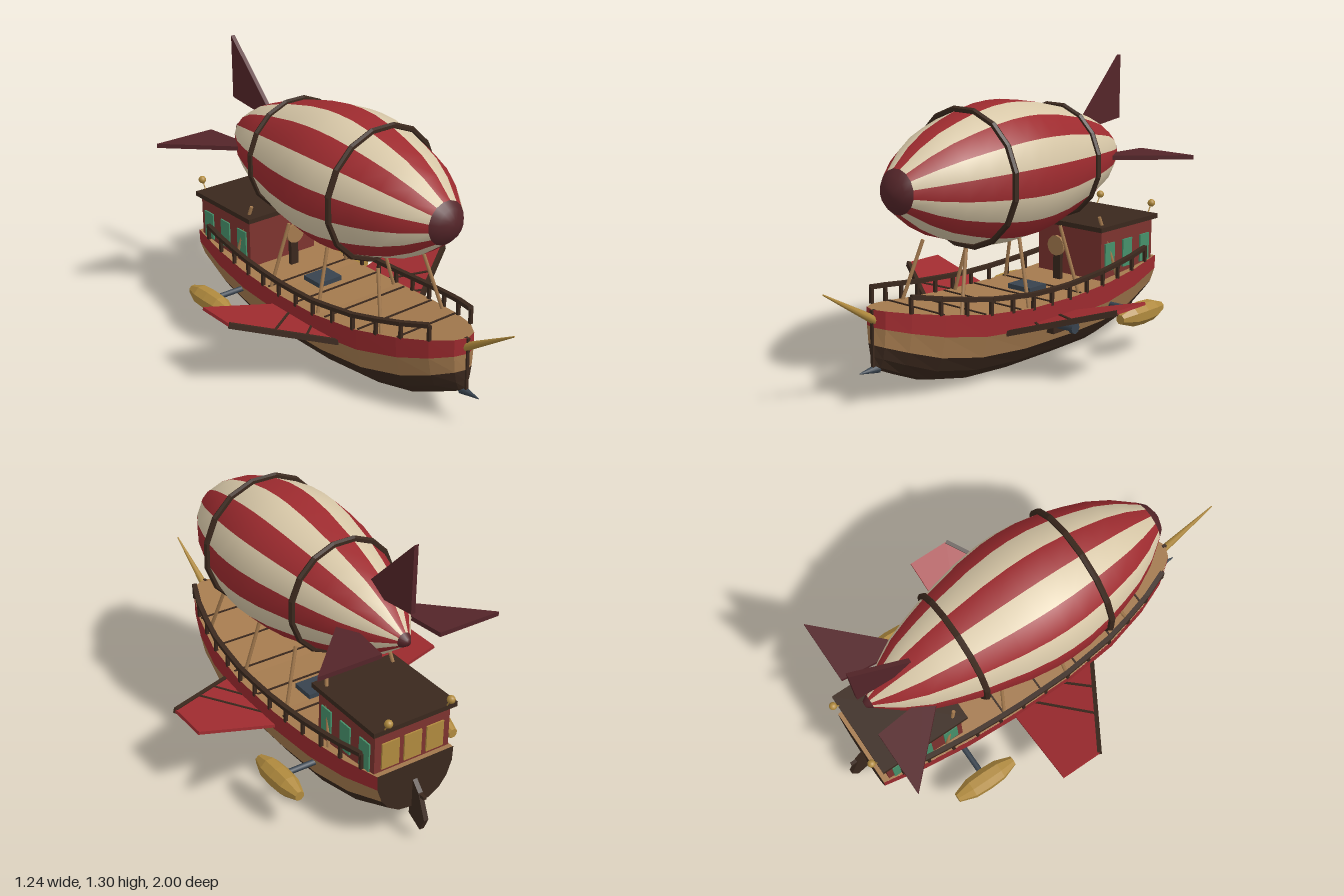
import * as THREE from 'three';
import { mergeGeometries } from 'three/addons/utils/BufferGeometryUtils.js';

const mat = (name, color) => Object.assign(new THREE.MeshStandardMaterial({ color }), { name });
const V = (x, y, z) => new THREE.Vector3(x, y, z);
const flat = (g) => { const f = g.toNonIndexed(); f.computeVertexNormals(); return f; };

// Hull stations: z, half width, sheer height, keel height
const STATIONS = [
  [0.745, 0.006, 0.412, 0.165], [0.725, 0.055, 0.41, 0.155], [0.64, 0.118, 0.394, 0.115],
  [0.5, 0.172, 0.368, 0.055], [0.3, 0.219, 0.335, 0.016], [0.05, 0.243, 0.312, 0.004],
  [-0.25, 0.245, 0.306, 0.004], [-0.5, 0.235, 0.315, 0.006], [-0.72, 0.216, 0.334, 0.05],
  [-0.915, 0.19, 0.36, 0.14]];

// Half width and sheer height of the hull at any z
function sheerAt(z) {
  let i = 0;
  while (i < STATIONS.length - 2 && STATIONS[i + 1][0] > z) i++;
  const [a, b] = [STATIONS[i], STATIONS[i + 1]];
  const t = (z - a[0]) / (b[0] - a[0]);
  return { w: a[1] + (b[1] - a[1]) * t, y: a[2] + (b[2] - a[2]) * t };
}

// Faceted surface through a grid of points
function surface(grid) {
  const pos = [];
  for (let i = 0; i < grid.length - 1; i++)
    for (let j = 0; j < grid[i].length - 1; j++) {
      const a = grid[i][j], b = grid[i][j + 1], c = grid[i + 1][j], d = grid[i + 1][j + 1];
      for (const p of [a, c, b, b, c, d]) pos.push(p.x, p.y, p.z);
    }
  const g = new THREE.BufferGeometry();
  g.setAttribute('position', new THREE.Float32BufferAttribute(pos, 3));
  g.computeVertexNormals();
  return g;
}

export function createModel() {
  const red = mat('red', 0x9e2b2f), cream = mat('cream', 0xd8c8a8), dark = mat('dark timber', 0x3a281d),
    wood = mat('deck wood', 0xa47a4e), maroon = mat('maroon', 0x542529), cabinRed = mat('cabin red', 0x7d332f),
    gold = mat('brass', 0xb08a3e), green = mat('green glass', 0x46906a), steel = mat('steel', 0x38434e);

  const model = new THREE.Group();
  model.name = 'airship';
  const add = (name, geo, material, x = 0, y = 0, z = 0) => {
    const m = new THREE.Mesh(geo, material);
    m.name = name;
    m.position.set(x, y, z);
    model.add(m);
    return m;
  };
  const box = (name, material, w, h, d, x, y, z) => add(name, new THREE.BoxGeometry(w, h, d), material, x, y, z);
  const beam = (name, material, a, b, w, h) => {
    const p = a.clone().add(b).multiplyScalar(0.5);
    const m = box(name, material, w, h, a.distanceTo(b), p.x, p.y, p.z);
    m.lookAt(b);
    return m;
  };
  const rod = (name, material, a, b, r0, r1 = r0, sides = 8) => {
    const p = a.clone().add(b).multiplyScalar(0.5);
    const m = add(name, new THREE.CylinderGeometry(r1, r0, a.distanceTo(b), sides), material, p.x, p.y, p.z);
    m.quaternion.setFromUnitVectors(V(0, 1, 0), b.clone().sub(a).normalize());
    return m;
  };
  // Side-profile plate: points are [z, y], thickness across x
  const plate = (name, material, pts, t) => {
    const shape = new THREE.Shape(pts.map(([z, y]) => new THREE.Vector2(-z, y)));
    const g = new THREE.ExtrudeGeometry(shape, { depth: t, bevelEnabled: false });
    return add(name, g.translate(0, 0, -t / 2).rotateY(Math.PI / 2), material);
  };

  // Hull: section points as [height fraction, width fraction], sheer to keel
  const SECTION = [[1, 1], [0.7, 0.985], [0.4, 0.86], [0.2, 0.68], [0.05, 0.4], [0, 0]];
  const hullGrid = (from, to, side) => STATIONS.map(([z, w, top, keel]) => {
    const row = SECTION.slice(from, to + 1).map(([h, k]) => V(side * w * k, keel + (top - keel) * h, z));
    return side > 0 ? row.reverse() : row;
  });
  for (const s of [-1, 1]) {
    add('bulwark', surface(hullGrid(0, 1, s)), red);
    add('hullPlanking', surface(hullGrid(1, 2, s)), wood);
    add('hullBottom', surface(hullGrid(2, 5, s)), dark);
  }
  const last = STATIONS.length - 1;
  const rim = [...hullGrid(0, 5, -1)[last], ...hullGrid(0, 5, 1)[last]];
  rim.push(rim[0]);
  add('transom', surface([rim, rim.map(() => V(0, 0.26, -0.915))]), dark);
  add('deck', surface(STATIONS.map(([z, w, y]) => [V(w * 0.995, y - 0.003, z), V(-w * 0.995, y - 0.003, z)])), wood);
  for (const z of [0.5, 0.3, 0.1, -0.1, -0.3]) {
    const { w, y } = sheerAt(z);
    box('deckSeam', dark, w * 1.9, 0.005, 0.008, 0, y, z);
  }
  beam('stem', dark, V(0, 0.41, 0.742), V(0, 0.16, 0.742), 0.014, 0.02);
  rod('bowsprit', gold, V(0, 0.345, 0.7), V(0, 0.525, 1), 0.021, 0.003);
  rod('ram', steel, V(0, 0.16, 0.72), V(0, 0.16, 0.82), 0.02, 0.002);
  plate('rudder', dark, [[-0.9, 0.29], [-0.955, 0.23], [-1, 0.12], [-0.975, 0.06], [-0.9, 0.1]], 0.022);
  box('rudderBracket', dark, 0.015, 0.014, 0.08, 0, 0.22, -0.945);

  // Railings and balloon supports
  for (const s of [-1, 1]) {
    const railPoint = (i) => {
      const z = 0.64 - i * 0.1215, { w, y } = sheerAt(z);
      return V(s * w * 0.98, y + 0.045 + 0.012 * Math.abs(i - 6) / 6 + 0.012, z);
    };
    for (let i = 0; i <= 12; i++) {
      const p = railPoint(i);
      box('railPost', dark, 0.014, 0.07, 0.014, p.x, p.y - 0.035, p.z);
      if (i < 12) beam('handrail', dark, p, railPoint(i + 1), 0.022, 0.018);
    }
    for (const [z0, z1, x1] of [[0.41, 0.33, 0.125], [0.04, 0.015, 0.14], [-0.3, -0.26, 0.14], [-0.6, -0.515, 0.16]]) {
      const { w, y } = sheerAt(z0);
      rod('balloonSupport', wood, V(s * w * 0.9, y - 0.01, z0), V(s * x1, 0.605, z1), 0.008);
    }
  }

  // Deckhouse
  box('cabin', cabinRed, 0.37, 0.24, 0.385, 0, 0.42, -0.693);
  box('cabinRoof', dark, 0.41, 0.022, 0.43, 0, 0.554, -0.69);
  for (const s of [-1, 1]) {
    for (const z of [-0.56, -0.692, -0.824]) box('sideWindow', green, 0.009, 0.13, 0.068, s * 0.1875, 0.415, z);
    rod('lanternPost', gold, V(s * 0.153, 0.56, -0.9), V(s * 0.153, 0.6, -0.922), 0.003);
    add('lantern', new THREE.SphereGeometry(0.018, 10, 8), gold, s * 0.153, 0.605, -0.925);
  }
  for (const x of [-0.11, 0, 0.11]) box('sternWindow', gold, 0.085, 0.12, 0.009, x, 0.427, -0.888);

  // Helm and deck hatch
  box('helmPedestal', dark, 0.04, 0.13, 0.02, 0, 0.37, -0.418);
  rod('helmWheel', wood, V(0, 0.467, -0.412), V(0, 0.467, -0.398), 0.047, 0.047, 12);
  box('deckHatch', steel, 0.13, 0.022, 0.11, 0, 0.317, -0.2);

  // Balloon: sixteen gores on a lathe profile of [radius, z]
  const gore = Math.PI / 8, balloonY = 0.868;
  const lathe = (pts, start, n) => new THREE.LatheGeometry(
    pts.map(([r, z]) => new THREE.Vector2(r * 1.02, z)), n, start, n * gore).rotateX(Math.PI / 2);
  const PROFILE = [[0.03, -0.805], [0.105, -0.71], [0.168, -0.6], [0.205, -0.5], [0.24, -0.39], [0.284, -0.2],
    [0.3, -0.08], [0.303, 0], [0.298, 0.09], [0.279, 0.2], [0.251, 0.3], [0.217, 0.4], [0.165, 0.5], [0.092, 0.6]];
  [red, cream].forEach((material, k) => {
    const gores = [];
    for (let i = k; i < 16; i += 2) gores.push(lathe(PROFILE, (i - 0.5) * gore, 1));
    add(k ? 'creamGores' : 'redGores', mergeGeometries(gores), material, 0, balloonY);
  });
  add('noseCap', lathe([[0.094, 0.598], [0.068, 0.627], [0.027, 0.645], [0, 0.646]], -gore / 2, 16), maroon, 0, balloonY);
  add('tailCap', lathe([[0, -0.83], [0.015, -0.828], [0.032, -0.803]], -gore / 2, 16), maroon, 0, balloonY);
  for (const [z, r] of [[0.205, 0.287], [-0.39, 0.245]])
    add('balloonBand', flat(new THREE.TorusGeometry(r * 1.02, 0.014, 6, 16).rotateZ(gore / 2)), dark, 0, balloonY, z);

  // Tail fins
  for (const k of [-1, 0, 1]) {
    const fin = plate('tailFin', maroon, [[-0.585, 0.165], [-0.85, 0.435], [-0.85, 0.14], [-0.62, 0.115]], 0.02);
    fin.position.y = balloonY;
    fin.rotation.z = k * Math.PI / 2;
  }

  for (const s of [-1, 1]) {
    // Side wings with dark spars
    const wing = new THREE.Group();
    wing.name = 'wing';
    wing.position.set(s * 0.22, 0.228, 0);
    wing.rotation.z = s * 0.28;
    model.add(wing);
    const outline = [[0, -0.255], [0.41, -0.255], [0.41, -0.06], [0, 0.185]];
    const shape = new THREE.Shape(outline.map(([u, z]) => new THREE.Vector2(s * u, z)));
    const panel = add('wingPanel', new THREE.ExtrudeGeometry(shape, { depth: 0.014, bevelEnabled: false })
      .rotateX(Math.PI / 2).translate(0, 0.007, 0), red);
    wing.add(panel);
    const spar = (u0, z0, u1, z1, t) =>
      wing.add(beam('wingSpar', dark, V(s * u0, 0, z0), V(s * u1, 0, z1), t, 0.024));
    spar(0, 0.185, 0.41, -0.06, 0.018);
    spar(0, -0.16, 0.24, 0.04, 0.01);
    spar(0, 0.0, 0.12, 0.11, 0.01);

    // Engine pods on arms
    const pod = [[0, -0.15], [0.022, -0.15], [0.048, -0.075], [0.052, 0], [0.048, 0.075], [0.022, 0.15], [0, 0.15]];
    const podGeo = new THREE.LatheGeometry(pod.map(([r, z]) => new THREE.Vector2(r, z)), 8, Math.PI / 8);
    add('enginePod', flat(podGeo.rotateX(Math.PI / 2)), gold, s * 0.394, 0.198, -0.525);
    rod('engineArm', steel, V(s * 0.2, 0.205, -0.525), V(s * 0.36, 0.205, -0.525), 0.013);

    // Side cannons
    rod('cannonBarrel', steel, V(s * 0.2, 0.213, -0.107), V(s * 0.355, 0.213, -0.107), 0.023, 0.019);
    rod('cannonMuzzle', steel, V(s * 0.338, 0.213, -0.107), V(s * 0.357, 0.213, -0.107), 0.027);
    box('cannonMount', dark, 0.06, 0.03, 0.075, s * 0.235, 0.19, -0.107);
  }
  return model;
}
